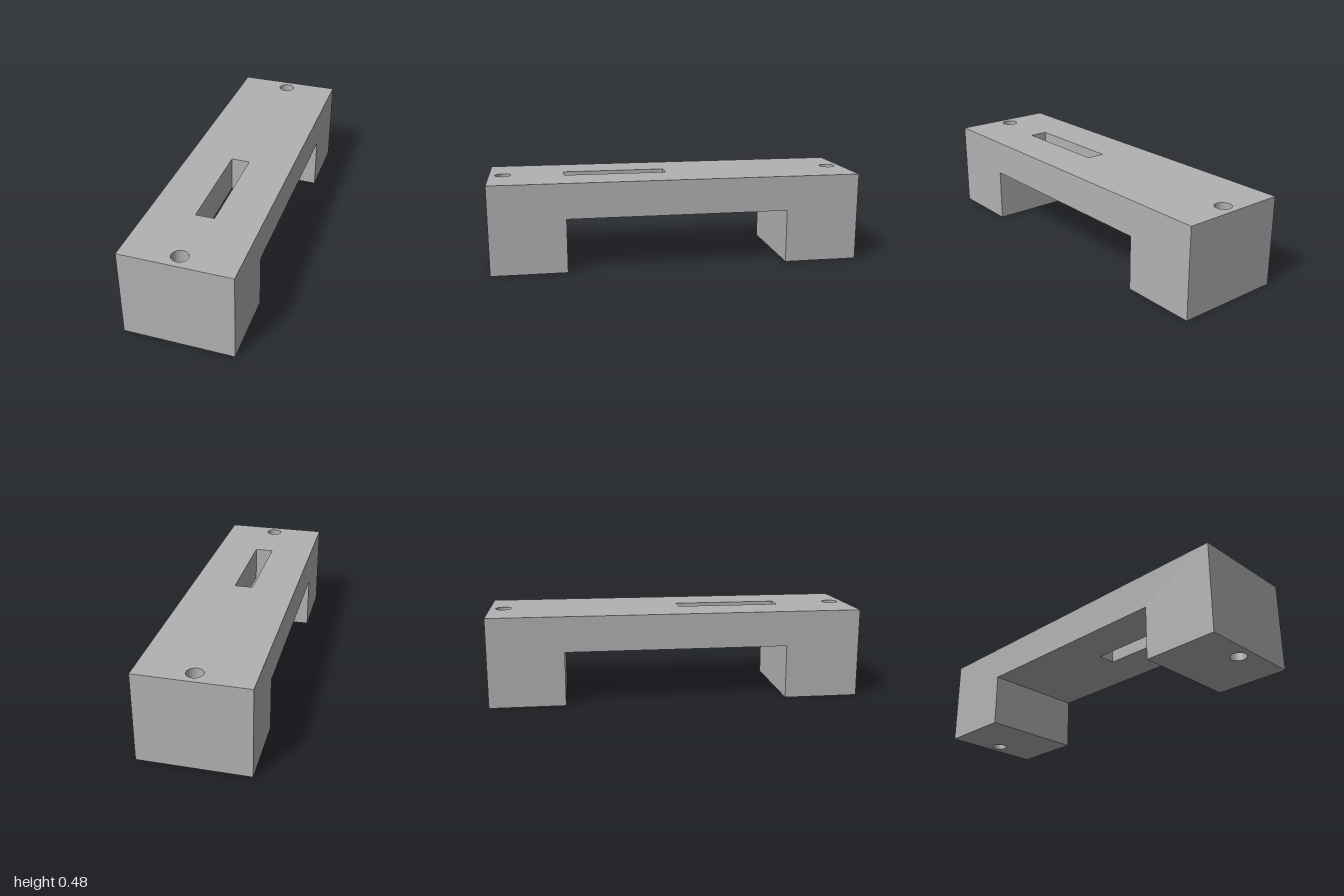
import * as THREE from 'three';

const W = 0.289, L = 1, H = 0.48;        // half width, half length, height
const UNDER = 0.29, FOOT = 0.597;        // deck underside, inner face of the feet
const SLOT_W = 0.05, SLOT_Z = 0.037;     // slot half width and its middle end
const HOLE_R = 0.043, HOLE_Z = 0.925;

export function createModel() {
  const group = new THREE.Group();
  const grey = new THREE.MeshStandardMaterial({ color: 0xb2b2b2 });
  grey.name = 'grey';

  const add = (name, geometry) => {
    const mesh = new THREE.Mesh(geometry, grey);
    mesh.name = name;
    group.add(mesh);
    return mesh;
  };
  const polygon = (points) => new THREE.Shape(points.map(([a, b]) => new THREE.Vector2(a, b)));

  // Horizontal face from x, z corners; dir is 1 facing up, -1 facing down
  const level = (name, points, y, dir, holes = [], slot = null) => {
    const shape = polygon(points.map(([x, z]) => [x, -dir * z]));
    for (const z of holes) {
      shape.holes.push(new THREE.Path().absarc(0, -dir * z, HOLE_R, 0, Math.PI * 2, true));
    }
    if (slot) shape.holes.push(polygon(slot.map(([x, z]) => [x, -dir * z])));
    add(name, new THREE.ShapeGeometry(shape, 16).rotateX(-dir * Math.PI / 2).translate(0, y, 0));
  };
  // Upright rectangle between two heights, turned about y
  const wall = (name, width, y0, y1, x, z, turn) => {
    add(name, new THREE.PlaneGeometry(width, y1 - y0).rotateY(turn).translate(x, (y0 + y1) / 2, z));
  };
  const rect = (x, z0, z1) => [[-x, z0], [x, z0], [x, z1], [-x, z1]];

  // Top of the deck with two screw holes and the slot
  level('deckTop', rect(W, -L, L), H, 1, [-HOLE_Z, HOLE_Z], rect(SLOT_W, SLOT_Z, FOOT));

  // Underside of the deck, notched where the slot reaches the front foot
  level('deckUnderside', [
    [-W, -FOOT], [W, -FOOT], [W, FOOT], [SLOT_W, FOOT],
    [SLOT_W, SLOT_Z], [-SLOT_W, SLOT_Z], [-SLOT_W, FOOT], [-W, FOOT],
  ], UNDER, -1);

  // Bridge-shaped sides
  const profile = polygon([
    [-L, 0], [-FOOT, 0], [-FOOT, UNDER], [FOOT, UNDER], [FOOT, 0], [L, 0], [L, H], [-L, H],
  ]);
  for (const s of [1, -1]) {
    add(s > 0 ? 'leftSide' : 'rightSide',
      new THREE.ShapeGeometry(profile).rotateY(s * Math.PI / 2).translate(s * W, 0, 0));
  }

  // Feet: end face, inner face, sole and screw hole
  for (const s of [1, -1]) {
    const end = s > 0 ? 'front' : 'back';
    wall(end + 'End', 2 * W, 0, H, 0, s * L, s > 0 ? 0 : Math.PI);
    wall(end + 'FootInner', 2 * W, 0, UNDER, 0, s * FOOT, s > 0 ? Math.PI : 0);
    level(end + 'FootSole', rect(W, Math.min(s * FOOT, s * L), Math.max(s * FOOT, s * L)), 0, -1, [s * HOLE_Z]);
    // Points run downwards so the bore faces inwards
    const bore = [new THREE.Vector2(HOLE_R, H), new THREE.Vector2(HOLE_R, 0)];
    add(end + 'ScrewHole', new THREE.LatheGeometry(bore, 32)).position.z = s * HOLE_Z;
  }

  // Slot walls
  const slotMid = (SLOT_Z + FOOT) / 2;
  for (const s of [1, -1]) {
    wall(s > 0 ? 'slotLeft' : 'slotRight', FOOT - SLOT_Z, UNDER, H, s * SLOT_W, slotMid, -s * Math.PI / 2);
  }
  wall('slotBack', 2 * SLOT_W, UNDER, H, 0, SLOT_Z, 0);
  wall('slotFront', 2 * SLOT_W, UNDER, H, 0, FOOT, Math.PI);

  return group;
}
